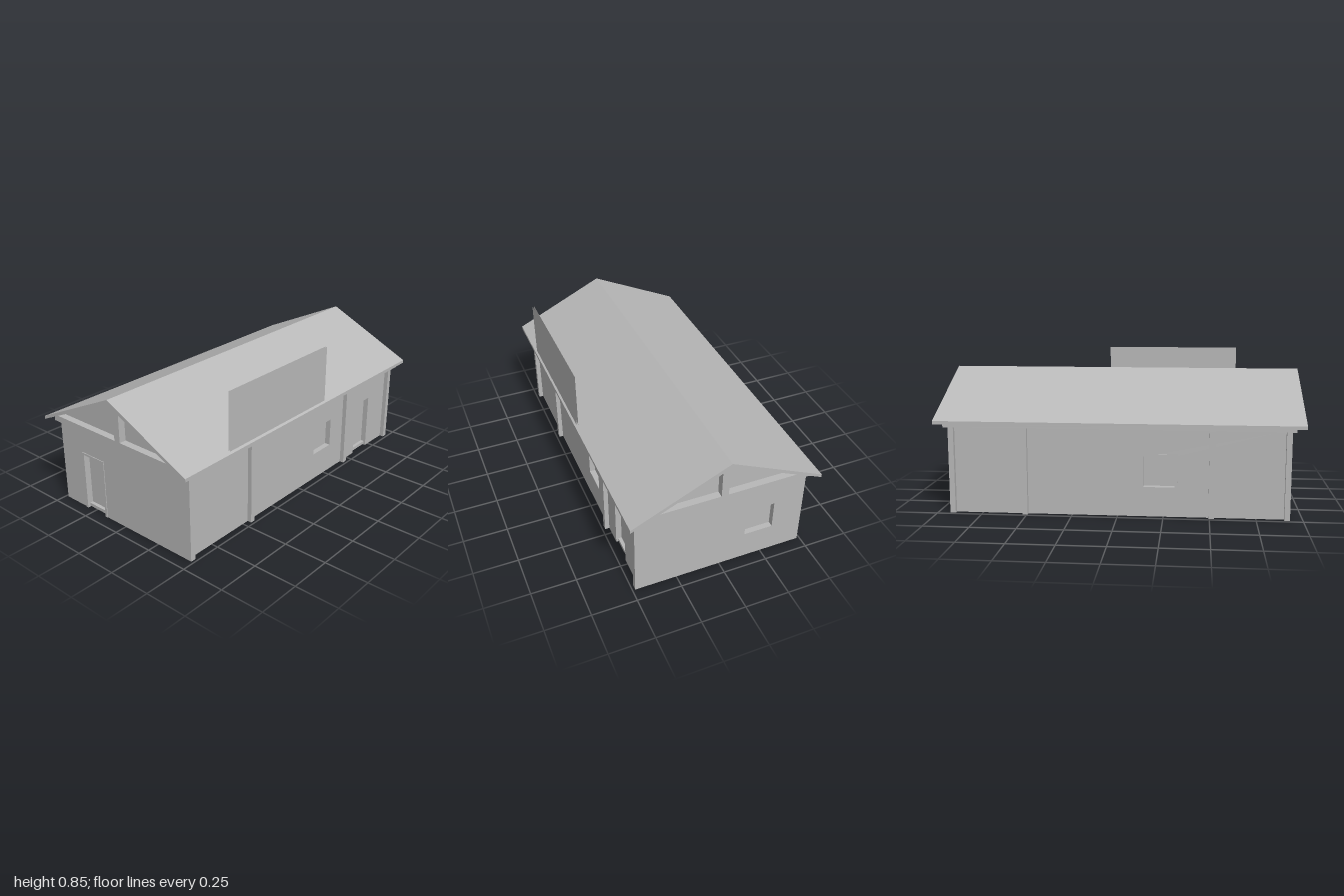
import * as THREE from 'three';

const plaster = new THREE.MeshStandardMaterial({ color: 0xb8b8b8 });
plaster.name = 'plain grey';
const sheet = new THREE.MeshStandardMaterial({ color: 0xb8b8b8, side: THREE.DoubleSide });
sheet.name = 'plain grey sheet';

const T = 0.04; // wall thickness
const WALL_TOP = 0.485;

function add(parent, name, geometry, x = 0, y = 0, z = 0, material = plaster) {
  const mesh = new THREE.Mesh(geometry, material);
  mesh.name = name;
  mesh.position.set(x, y, z);
  parent.add(mesh);
  return mesh;
}

// Box given by its lower and upper limits
function block(parent, name, x0, x1, y0, y1, z0, z1) {
  return add(parent, name, new THREE.BoxGeometry(x1 - x0, y1 - y0, z1 - z0),
    (x0 + x1) / 2, (y0 + y1) / 2, (z0 + z1) / 2);
}

function extrude(points, depth, holes = []) {
  const shape = new THREE.Shape(points.map(p => new THREE.Vector2(...p)));
  for (const h of holes) shape.holes.push(new THREE.Path(h.map(p => new THREE.Vector2(...p))));
  return new THREE.ExtrudeGeometry(shape, { depth, bevelEnabled: false });
}

const rect = (a, b, c, d) => [[a, c], [b, c], [b, d], [a, d]];

// Wall facing local +z, with recessed door and window panels
function wall(parent, name, angle, half, plane, { door, window, framed }) {
  const g = new THREE.Group();
  g.name = name;
  g.rotation.y = angle;
  parent.add(g);
  const outline = [[-half, 0]];
  if (door) {
    const [a, b] = door;
    outline.push([a, 0], [a, 0.333], [b, 0.333], [b, 0]);
    block(g, 'doorPanel', a, b, 0.01, 0.333, plane - T, plane - T + 0.008);
    block(g, 'threshold', a, b, 0.005, 0.024, plane - T, plane - 0.012);
  }
  outline.push([half, 0], [half, WALL_TOP], [-half, WALL_TOP]);
  const holes = [];
  if (window) {
    const [a, b] = window;
    holes.push(rect(a, b, 0.165, 0.333));
    block(g, 'windowPane', a, b, 0.165, 0.333, plane - T, plane - T + 0.008);
  }
  add(g, 'wallPanel', extrude(outline, T, holes), 0, 0, plane - T);

  // Slim surrounds
  const f = 0.015, d = 0.004;
  if (framed && door) {
    const [a, b] = door;
    block(g, 'doorFrameSide', a - f, a, 0, 0.345, plane, plane + d);
    block(g, 'doorFrameSide', b, b + f, 0, 0.345, plane, plane + d);
    block(g, 'doorFrameTop', a, b, 0.333, 0.345, plane, plane + d);
  }
  if (framed && window) {
    const [a, b] = window;
    add(g, 'windowFrame', extrude(rect(a - f, b + f, 0.15, 0.348), d,
      [rect(a, b, 0.165, 0.333)]), 0, 0, plane);
  }
}

export function createModel() {
  const model = new THREE.Group();
  model.name = 'house';

  // Walls
  wall(model, 'frontWall', 0, 0.46, 0.93, { door: [-0.305, -0.16], framed: true });
  wall(model, 'backWall', Math.PI, 0.46, 0.93, { window: [0.145, 0.31] });
  wall(model, 'rightwardWall', Math.PI / 2, 0.9, 0.46, { door: [0.575, 0.72], window: [0.14, 0.305] });
  wall(model, 'leftwardWall', -Math.PI / 2, 0.9, 0.46, { window: [0.14, 0.31], framed: true });

  // Floor slab and the wall plate that closes the top of the walls
  block(model, 'floorSlab', -0.43, 0.43, 0.01, 0.024, -0.9, 0.9);
  block(model, 'wallPlate', -0.51, 0.51, WALL_TOP, 0.52, -0.95, 0.95);

  // Pilasters along both long walls
  for (const s of [1, -1]) {
    const mid = s > 0 ? 0.445 : 0.51;
    for (const z of [0.915, mid, -mid, -0.915]) {
      const x = s * 0.4725;
      block(model, 'pilaster', x - 0.0125, x + 0.0125, 0, WALL_TOP, z - 0.015, z + 0.015);
    }
  }

  // Gable ends: recessed infill and king post
  for (const s of [1, -1]) {
    add(model, 'gableInfill', extrude([[-0.485, 0.52], [0.485, 0.52], [0, 0.747]], 0.02),
      0, 0, s * 0.9 - 0.01);
    block(model, 'kingPost', -0.02, 0.02, 0.52, 0.742, s * 0.93 - 0.02, s * 0.93 + 0.02);
  }

  // Pitched roof
  add(model, 'roof', extrude([
    [0, 0.771], [-0.53, 0.522], [-0.53, 0.504], [0, 0.747], [0.53, 0.504], [0.53, 0.522],
  ], 2), 0, 0, -1);

  // Upright sign board over the eave, two open faces
  for (const s of [1, -1]) {
    const face = add(model, 'signBoardFace', new THREE.PlaneGeometry(0.81, 0.322),
      0.515 + s * 0.005, 0.692, 0.265, sheet);
    face.rotation.y = s * Math.PI / 2;
  }
  return model;
}
